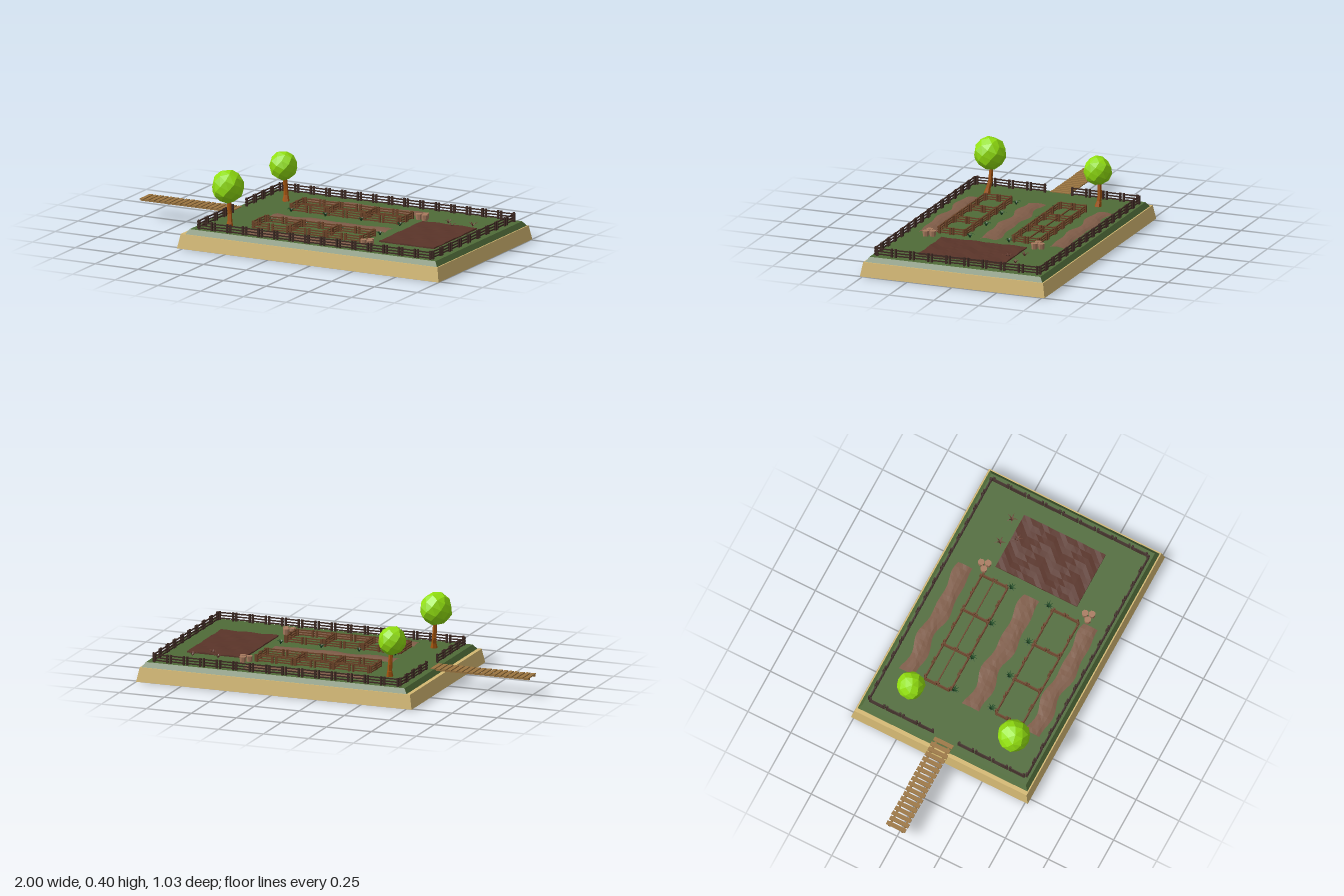
import * as THREE from 'three';
import { ConvexGeometry } from 'three/addons/geometries/ConvexGeometry.js';

const mat = (color) => new THREE.MeshStandardMaterial({ color, flatShading: true, side: THREE.DoubleSide });
const M = {
  sand: mat(0xd4b872), grass: mat(0x4f6b38), fence: mat(0x3d2922), wood: mat(0x6b4226),
  plank: mat(0x9b7540), bark: mat(0xa5550f), leaf: mat(0x92e010), dirt: mat(0x7f5c48),
  soil: mat(0x5a3429), plant: mat(0x1f4a25), clay: mat(0xa87a5e), dry: mat(0x6b4034),
};
let seed = 7;
const rnd = () => (seed = (seed * 16807) % 2147483647) / 2147483647;

function add(parent, name, geo, material, x = 0, y = 0, z = 0) {
  const m = new THREE.Mesh(geo, material);
  m.name = name;
  m.position.set(x, y, z);
  parent.add(m);
  return m;
}
const box = (p, name, material, w, h, d, x, y, z) => add(p, name, new THREE.BoxGeometry(w, h, d), material, x, y, z);

function named(parent, name) {
  const g = new THREE.Group();
  g.name = name;
  parent.add(g);
  return g;
}

// Open-bottomed slab with walls sloping inwards by `inset`
function slab(w, h, d, inset) {
  const g = new THREE.BoxGeometry(w, h, d);
  const p = g.attributes.position;
  for (let i = 0; i < p.count; i++) {
    if (p.getY(i) > 0) {
      p.setX(i, p.getX(i) - Math.sign(p.getX(i)) * inset);
      p.setZ(i, p.getZ(i) - Math.sign(p.getZ(i)) * inset);
    }
  }
  const idx = Array.from(g.index.array);
  idx.splice(18, 6);
  g.setIndex(idx);
  return g;
}

// Straight fence of short panels: two posts and three rails each
function fenceRun(parent, name, x0, z0, x1, z1, count, material, height = 0.048) {
  const run = named(parent, name);
  const len = Math.hypot(x1 - x0, z1 - z0), step = len / count;
  run.position.set(x0, 0.098, z0);
  run.rotation.y = -Math.atan2(z1 - z0, x1 - x0);
  for (let i = 0; i < count; i++) {
    const c = (i + 0.5) * step, tilt = (rnd() - 0.5) * 0.05;
    for (const s of [-1, 1]) box(run, 'post', material, 0.01, height, 0.01, c + s * step * 0.4, height / 2, 0);
    for (const f of [0.22, 0.52, 0.84]) {
      box(run, 'rail', material, step * 0.95, 0.006, 0.006, c, height * f, 0.004).rotation.z = tilt;
    }
  }
}

// Faceted crown on a bent, tapering trunk
function tree(parent, x, y, z, r, bx, bz) {
  const t = named(parent, 'tree');
  const pts = [];
  for (let i = 0; i < 46; i++) {
    const v = 1 - (2 * i + 1) / 46, a = i * 2.39996, q = Math.sqrt(1 - v * v);
    const k = r * (0.96 + rnd() * 0.08);
    pts.push(new THREE.Vector3(Math.cos(a) * q * k, v * k * 1.04, Math.sin(a) * q * k));
  }
  add(t, 'crown', new ConvexGeometry(pts), M.leaf, x, y, z);
  const stops = [[bx, 0.095, bz, 0.02], [bx - 0.002, 0.13, bz - 0.006, 0.013],
    [(bx + x) / 2, 0.165, bz * 0.6 + z * 0.4 - 0.01, 0.012], [x, y - r * 0.6, z - 0.01, 0.01]];
  for (let i = 0; i < 3; i++) {
    const a = new THREE.Vector3(...stops[i].slice(0, 3)), b = new THREE.Vector3(...stops[i + 1].slice(0, 3));
    const dir = b.clone().sub(a);
    const m = add(t, 'trunk', new THREE.CylinderGeometry(stops[i + 1][3], stops[i][3], dir.length(), 6), M.bark);
    m.position.copy(a).add(b).multiplyScalar(0.5);
    m.quaternion.setFromUnitVectors(new THREE.Vector3(0, 1, 0), dir.normalize());
  }
}

// Low ridge of earth with ragged edges
function dirtRow(parent, x0, x1, z, width) {
  const g = new THREE.PlaneGeometry(x1 - x0, width, 24, 4).rotateX(-Math.PI / 2);
  const p = g.attributes.position;
  for (let i = 0; i < p.count; i++) {
    const u = p.getZ(i) / (width / 2), x = p.getX(i);
    p.setZ(i, p.getZ(i) * (0.85 + 0.15 * Math.sin(x * 30 + u)) + 0.008 * Math.sin(x * 19));
    p.setY(i, 0.1 + 0.006 * (1 - u * u) + (Math.abs(u) < 1 ? rnd() * 0.002 : 0));
  }
  g.computeVertexNormals();
  add(parent, 'dirtRow', g, M.dirt, (x0 + x1) / 2, 0, z);
}

// Tuft of bent pointed leaves
function tuft(parent, name, x, z, material, r = 0.026, n = 8) {
  const t = named(parent, name);
  t.position.set(x, 0.1, z);
  for (let i = 0; i < n; i++) {
    const g = new THREE.PlaneGeometry(0.009, r, 1, 2).translate(0, r / 2, 0);
    const p = g.attributes.position;
    for (let j = 0; j < p.count; j++) {
      const k = p.getY(j) / r;
      p.setXYZ(j, p.getX(j) * (1 - k * 0.9), 0.02 * Math.sin(k * 2.2), r * k);
    }
    g.computeVertexNormals();
    add(t, 'leaf', g, material).rotation.y = (i / n) * Math.PI * 2 + rnd() * 0.4;
  }
}

export function createModel() {
  const model = new THREE.Group();
  model.name = 'gardenIsland';

  // Ground
  add(model, 'sandBase', slab(1.53, 0.075, 1.03, 0.014), M.sand, 0.235, 0.0375, 0);
  add(model, 'grass', slab(1.475, 0.026, 0.99, 0.019), M.grass, 0.2425, 0.087, 0);

  // Boundary fence with a gate gap at the footbridge
  const fence = named(model, 'boundaryFence');
  fenceRun(fence, 'frontFence', -0.44, 0.457, 0.93, 0.457, 15, M.fence);
  fenceRun(fence, 'backFence', -0.44, -0.46, 0.93, -0.46, 15, M.fence);
  fenceRun(fence, 'leftFence', 0.93, -0.455, 0.93, 0.455, 9, M.fence);
  fenceRun(fence, 'rightFenceFront', -0.44, 0.06, -0.44, 0.455, 4, M.fence);
  fenceRun(fence, 'rightFenceBack', -0.44, -0.455, -0.44, -0.075, 4, M.fence);

  // Footbridge: cross planks on two bearers
  const bridge = named(model, 'footbridge');
  for (const z of [-0.047, 0.028]) box(bridge, 'bearer', M.plank, 0.54, 0.008, 0.012, -0.73, 0.094, z);
  for (let i = 0; i < 18; i++) {
    box(bridge, 'plank', M.plank, 0.022, 0.006, 0.11, -0.988 + i * 0.0306, 0.101, -0.01 + (rnd() - 0.5) * 0.004);
  }

  // Trees
  tree(model, -0.33, 0.313, 0.33, 0.085, -0.315, 0.34);
  tree(model, -0.325, 0.29, -0.272, 0.074, -0.315, -0.278);

  // Planting rows and the dug bed
  dirtRow(model, -0.21, 0.45, -0.355, 0.1);
  dirtRow(model, -0.23, 0.45, 0.03, 0.11);
  dirtRow(model, -0.21, 0.45, 0.375, 0.1);
  const bed = new THREE.BoxGeometry(0.32, 0.012, 0.475, 10, 1, 14);
  const p = bed.attributes.position;
  for (let i = 0; i < p.count; i++) {
    if (p.getY(i) > 0) p.setY(i, 0.005 + 0.002 * Math.sin(p.getX(i) * 45 + 2 * Math.sin(p.getZ(i) * 30)));
  }
  bed.computeVertexNormals();
  add(model, 'soilBed', bed, M.soil, 0.675, 0.102, 0.018);

  // Trellis blocks: long rails and cross panels
  const posts = [-0.2, 0.012, 0.226, 0.44];
  for (const [z0, z1] of [[-0.26, -0.11], [0.155, 0.305]]) {
    const block = named(model, 'trellisBlock');
    for (const z of [z0, z1]) fenceRun(block, 'trellisRow', -0.2, z, 0.44, z, 6, M.wood, 0.04);
    for (const x of posts) fenceRun(block, 'trellisCross', x, z0, x, z1, 2, M.wood, 0.04);
  }
  box(model, 'middleRail', M.wood, 0.64, 0.006, 0.006, 0.12, 0.12, -0.187);

  // Plants, dry tufts and pots
  for (const x of [-0.185, 0.015, 0.225, 0.45]) {
    tuft(model, 'plant', x, -0.092, M.plant);
    tuft(model, 'plant', x, 0.125, M.plant);
  }
  for (const [x, z] of [[0.645, -0.26], [0.785, -0.265], [0.7, -0.19]]) tuft(model, 'dryTuft', x, z, M.dry, 0.03, 5);
  for (const z of [-0.27, 0.335]) {
    const pots = named(model, 'potGroup');
    for (const [dx, dz] of [[-0.02, 0.006], [0.006, -0.022], [0.018, 0.012]]) {
      add(pots, 'pot', new THREE.CylinderGeometry(0.018, 0.016, 0.03, 8), M.clay, 0.49 + dx, 0.114, z + dz);
    }
  }
  return model;
}
